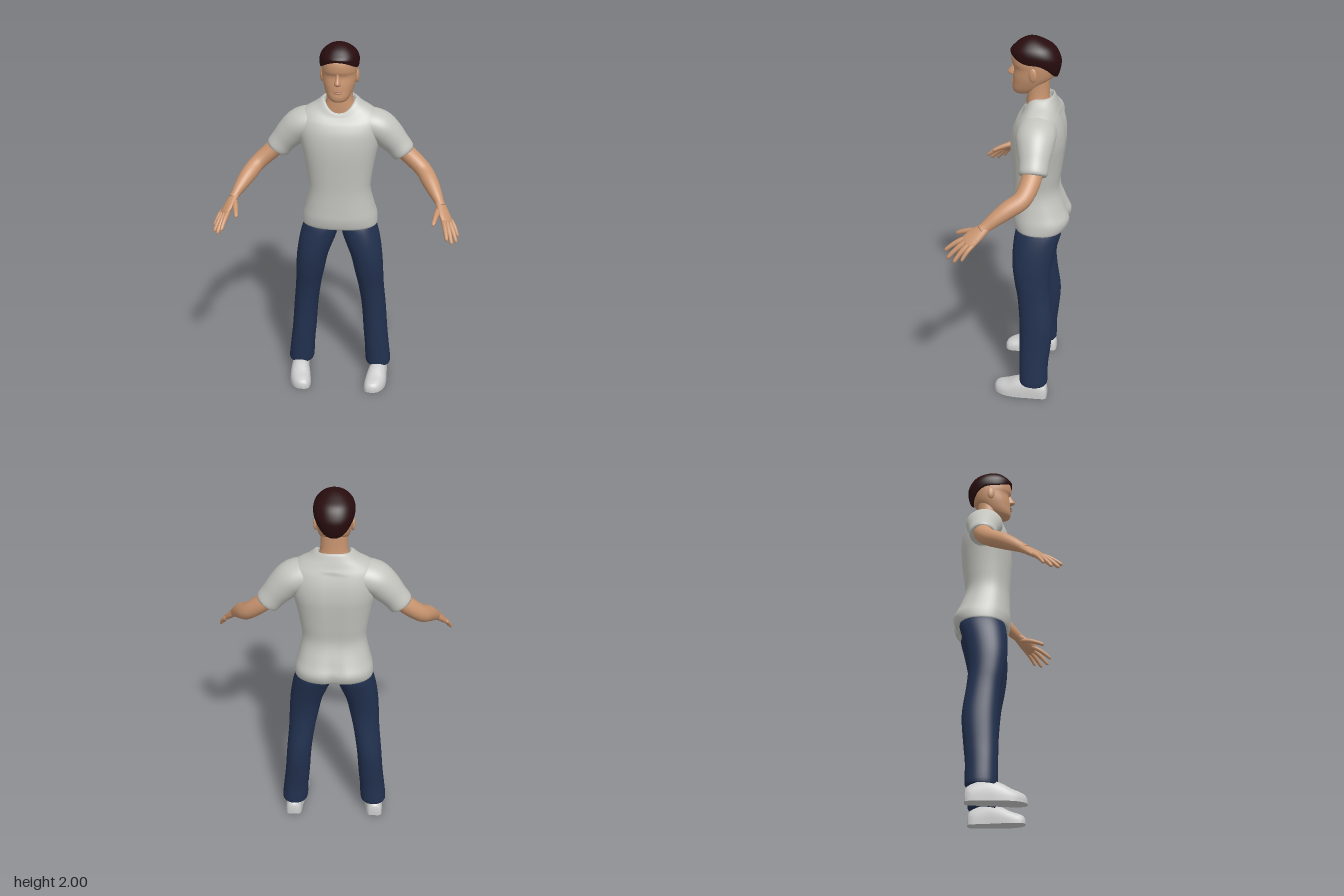
import * as THREE from 'three';
import { toCreasedNormals } from 'three/addons/utils/BufferGeometryUtils.js';

const SIDES = 40;
const mat = (name, color) => Object.assign(new THREE.MeshStandardMaterial({ color }), { name });
const spow = (v, e) => Math.sign(v) * Math.pow(Math.abs(v), e);

// Catmull-Rom smoothing of every column of a table of cross-sections
function smooth(rows, k = 4) {
  const out = [];
  const w = Math.max(...rows.map((r) => r.length));
  const at = (i, c) => rows[Math.min(Math.max(i, 0), rows.length - 1)][c] ?? 0;
  for (let i = 0; i < rows.length - 1; i++) {
    for (let j = 0; j < k; j++) {
      const t = j / k, row = [];
      for (let c = 0; c < w; c++) {
        const a = at(i - 1, c), b = at(i, c), d = at(i + 1, c), e = at(i + 2, c);
        row.push(b + 0.5 * t * (d - a + t * (2 * a - 5 * b + 4 * d - e + t * (3 * (b - d) + e - a))));
      }
      out.push(row);
    }
  }
  out.push(Array.from({ length: w }, (_, c) => at(rows.length - 1, c)));
  return out;
}

// Skin a list of rings, close both ends, and face everything outward
function loft(rings) {
  const n = rings[0].length, pts = rings.flat(), idx = [];
  for (let i = 0; i < rings.length - 1; i++) {
    for (let j = 0; j < n; j++) {
      const a = i * n + j, b = i * n + (j + 1) % n;
      idx.push(a, b, a + n, b, b + n, a + n);
    }
  }
  [0, rings.length - 1].forEach((r) => {
    const c = new THREE.Vector3();
    rings[r].forEach((p) => c.addScaledVector(p, 1 / n));
    pts.push(c);
    for (let j = 0; j < n; j++) {
      const a = r * n + j, b = r * n + (j + 1) % n;
      idx.push(...(r ? [a, b, pts.length - 1] : [b, a, pts.length - 1]));
    }
  });
  let volume = 0;
  for (let i = 0; i < idx.length; i += 3) {
    volume += pts[idx[i]].dot(new THREE.Vector3().crossVectors(pts[idx[i + 1]], pts[idx[i + 2]]));
  }
  if (volume < 0) idx.reverse();
  const g = new THREE.BufferGeometry().setFromPoints(pts);
  g.setIndex(idx);
  g.computeVertexNormals();
  return g;
}

const around = (fn, n = SIDES) => Array.from({ length: n }, (_, j) => fn(j / n * Math.PI * 2));

// Level rings: [y, xCentre, halfWidth, zFront, zBack, frontDrop, backRise]
function stack(rows, { power = 2.2, bend = null, k = 4 } = {}) {
  return loft(smooth(rows, k).map(([y, xc, hw, zf, zb, drop = 0, rise = 0]) => around((a) => {
    const c = Math.cos(a), e = 2 / power;
    const p = new THREE.Vector3(
      xc + hw * spow(Math.sin(a), e),
      y + (c > 0 ? -drop : rise) * c * c,
      (zf + zb) / 2 + (zf - zb) / 2 * spow(c, e));
    if (bend) bend(p, c);
    return p;
  })));
}

// Limb along a path: [x, y, z, radius along ref, radius across]
function limb(rows, ref, n = 24) {
  const s = smooth(rows), P = s.map((r) => new THREE.Vector3(r[0], r[1], r[2]));
  return loft(s.map((r, i) => {
    const t = P[Math.min(i + 1, P.length - 1)].clone().sub(P[Math.max(i - 1, 0)]).normalize();
    const u = ref.clone().addScaledVector(t, -ref.dot(t)).normalize();
    const v = new THREE.Vector3().crossVectors(t, u);
    return around((a) => P[i].clone().addScaledVector(u, r[3] * Math.cos(a)).addScaledVector(v, r[4] * Math.sin(a)), n);
  }));
}

function mirrored(g) {
  const m = (g.index ? g.toNonIndexed() : g.clone()).scale(-1, 1, 1);
  const order = Array.from({ length: m.attributes.position.count }, (_, i) => i);
  m.setIndex(order.reverse());
  return m;
}

function ellipsoid(x, y, z, rx, ry, rz, turnY = 0, turnZ = 0) {
  return new THREE.SphereGeometry(1, 20, 14).scale(rx, ry, rz).rotateZ(turnZ).rotateY(turnY).translate(x, y, z);
}

export function createModel() {
  const skin = mat('skin', 0xc99570), shirt = mat('shirt', 0xc3c4be), denim = mat('denim', 0x22314f);
  const shoe = mat('shoe', 0xcacaca), hair = mat('hair', 0x280c0e), dark = mat('eye dark', 0x1c100e);
  const lip = mat('lip', 0xb27c62);
  const model = new THREE.Group();
  model.name = 'standingMan';
  const add = (name, g, m) => {
    const mesh = new THREE.Mesh(g, m);
    mesh.name = name;
    model.add(mesh);
  };
  const pair = (name, g, m) => {
    add(name + 'Left', g, m);
    add(name + 'Right', mirrored(g), m);
  };

  // Shirt body, with a groove down the back
  add('shirtBody', stack([
    [1.01, 0, 0.19, -0.005, -0.25], [0.99, 0, 0.205, 0.015, -0.265], [1.04, 0, 0.202, 0.028, -0.284],
    [1.1, 0, 0.186, 0.027, -0.258], [1.2, 0, 0.166, 0.025, -0.222], [1.3, 0, 0.176, 0.03, -0.23],
    [1.4, 0, 0.194, 0.036, -0.242], [1.47, 0, 0.21, 0.035, -0.248], [1.54, 0, 0.222, 0.026, -0.242, 0.01],
    [1.6, 0, 0.218, 0.008, -0.225, 0.025], [1.64, 0, 0.18, -0.006, -0.208, 0.045],
    [1.672, 0, 0.125, -0.02, -0.195, 0.062, 0.005], [1.702, 0, 0.086, -0.034, -0.18, 0.067, 0.008],
    [1.68, 0, 0.074, -0.052, -0.165, 0.06],
  ], {
    power: 2.4,
    bend: (p, c) => {
      const depth = 0.008 + 0.014 * Math.exp(-(((p.y - 1.04) / 0.06) ** 2));
      if (c < 0 && p.y < 1.62) p.z += depth * Math.exp(-((p.x / 0.035) ** 2));
    },
  }), shirt);

  // Sleeves and arms
  const zAxis = new THREE.Vector3(0, 0, 1);
  pair('sleeve', limb([
    [0.12, 1.57, -0.115, 0.095, 0.08], [0.2, 1.548, -0.115, 0.1, 0.085], [0.255, 1.5, -0.118, 0.088, 0.08],
    [0.3, 1.45, -0.12, 0.075, 0.069], [0.333, 1.408, -0.12, 0.07, 0.065], [0.336, 1.404, -0.12, 0.052, 0.05],
  ], zAxis, SIDES), shirt);
  pair('arm', limb([
    [0.3, 1.45, -0.12, 0.05, 0.045], [0.365, 1.39, -0.115, 0.05, 0.046], [0.44, 1.325, -0.085, 0.046, 0.043],
    [0.48, 1.283, -0.02, 0.044, 0.042], [0.51, 1.245, 0.035, 0.036, 0.034], [0.533, 1.212, 0.078, 0.028, 0.024],
    [0.545, 1.195, 0.1, 0.026, 0.022],
  ], zAxis), skin);

  // Hands: palm, four fingers and a thumb
  const across = new THREE.Vector3(0.6, -0.3, -0.7).normalize();
  pair('palm', limb([
    [0.528, 1.218, 0.07, 0.024, 0.02], [0.545, 1.193, 0.1, 0.034, 0.02], [0.562, 1.165, 0.135, 0.042, 0.018],
    [0.578, 1.14, 0.163, 0.041, 0.014], [0.582, 1.134, 0.17, 0.025, 0.008],
  ], across), skin);
  const fingers = [
    ['indexFinger', [0.556, 1.153, 0.178], [0.576, 1.088, 0.275], 0.0115],
    ['middleFinger', [0.573, 1.142, 0.172], [0.602, 1.06, 0.258], 0.012],
    ['ringFinger', [0.589, 1.134, 0.158], [0.626, 1.053, 0.222], 0.0115],
    ['littleFinger', [0.602, 1.131, 0.139], [0.634, 1.068, 0.182], 0.01],
    ['thumb', [0.532, 1.19, 0.11], [0.503, 1.148, 0.232], 0.013],
  ];
  fingers.forEach(([name, a, b, r]) => {
    const A = new THREE.Vector3(...a), B = new THREE.Vector3(...b);
    const rows = [[-0.2, 1.05], [0.3, 1.1], [0.7, 0.95], [0.93, 0.75], [1, 0.2]].map(([t, f]) => {
      const p = A.clone().lerp(B, t);
      p.y += 0.024 * t * (1 - t);
      return [p.x, p.y, p.z, r * f, r * f];
    });
    pair(name, limb(rows, across, 12), skin);
  });

  // Trousers: [y, inner x, outer x, front z, back z]
  pair('trouserLeg', stack([
    [1.07, 0.01, 0.14, -0.04, -0.18], [1.02, 0, 0.178, -0.018, -0.225], [0.98, 0, 0.2, 0, -0.242],
    [0.9, 0.025, 0.222, 0.01, -0.222], [0.8, 0.063, 0.237, 0.01, -0.2], [0.7, 0.085, 0.244, -0.003, -0.191],
    [0.6, 0.106, 0.249, -0.022, -0.199], [0.45, 0.127, 0.263, -0.035, -0.217], [0.3, 0.138, 0.275, -0.037, -0.206],
    [0.2, 0.147, 0.286, -0.038, -0.196], [0.09, 0.154, 0.297, -0.04, -0.195], [0.1, 0.17, 0.282, -0.055, -0.18],
  ].map(([y, a, b, f, k]) => [y, (a + b) / 2, (b - a) / 2, f, k])), denim);

  // Shoes: [z, centre x, half width, height]
  const shoeRings = smooth([
    [-0.196, 0.235, 0.022, 0.045], [-0.18, 0.234, 0.042, 0.08], [-0.1, 0.23, 0.05, 0.11], [-0.03, 0.224, 0.058, 0.1],
    [0.03, 0.216, 0.06, 0.07], [0.07, 0.208, 0.052, 0.056], [0.095, 0.202, 0.036, 0.042], [0.105, 0.2, 0.014, 0.022],
  ]).map(([z, x, w, h]) => around((a) => new THREE.Vector3(
    x + w * spow(Math.cos(a), 0.85), h * Math.pow(Math.max(Math.sin(a), 0), 0.7), z)));
  pair('shoe', toCreasedNormals(loft(shoeRings), 0.9), shoe);

  // Neck and head
  add('neck', stack([
    [1.58, 0, 0.11, -0.045, -0.17], [1.65, 0, 0.084, -0.042, -0.166], [1.71, 0, 0.068, -0.042, -0.157],
    [1.82, 0, 0.068, -0.042, -0.157],
  ]), skin);
  add('head', stack([
    [1.706, 0, 0.02, 0.005, -0.04, 0, 0.02], [1.715, 0, 0.045, 0.024, -0.09, 0, 0.04],
    [1.735, 0, 0.061, 0.031, -0.13, 0, 0.04], [1.765, 0, 0.074, 0.029, -0.158, 0, 0.025],
    [1.8, 0, 0.084, 0.027, -0.178], [1.842, 0, 0.09, 0.022, -0.195], [1.87, 0, 0.092, 0.033, -0.2],
    [1.92, 0, 0.09, 0.03, -0.195], [1.965, 0, 0.062, -0.01, -0.14], [1.98, 0, 0.02, -0.05, -0.09],
  ]), skin);
  add('nose', stack([
    [1.865, 0, 0.006, 0.03, 0], [1.84, 0, 0.01, 0.039, 0], [1.815, 0, 0.016, 0.055, 0], [1.803, 0, 0.017, 0.047, 0],
    [1.798, 0, 0.01, 0.03, 0],
  ], { power: 2 }), skin);
  add('upperLip', ellipsoid(0, 1.77, 0.024, 0.025, 0.005, 0.012), lip);
  add('lowerLip', ellipsoid(0, 1.761, 0.024, 0.021, 0.006, 0.011), lip);
  pair('ear', ellipsoid(0.09, 1.825, -0.082, 0.011, 0.036, 0.021, -0.2), skin);
  pair('eye', ellipsoid(0.041, 1.842, 0.003, 0.021, 0.006, 0.007, 0.42, 0.08), dark);

  // Short hair, lower at the back than over the forehead
  add('hair', stack([
    [1.885, 0, 0.08, 0.015, -0.17, -0.04, -0.07], [1.876, 0, 0.096, 0.036, -0.196, -0.044, -0.075],
    [1.9, 0, 0.101, 0.04, -0.214, -0.03, -0.035], [1.925, 0, 0.099, 0.037, -0.205, -0.012, -0.015],
    [1.95, 0, 0.088, 0.025, -0.18], [1.975, 0, 0.064, -0.002, -0.14], [1.993, 0, 0.034, -0.035, -0.1],
    [2, 0, 0.004, -0.064, -0.072],
  ]), hair);

  return model;
}
